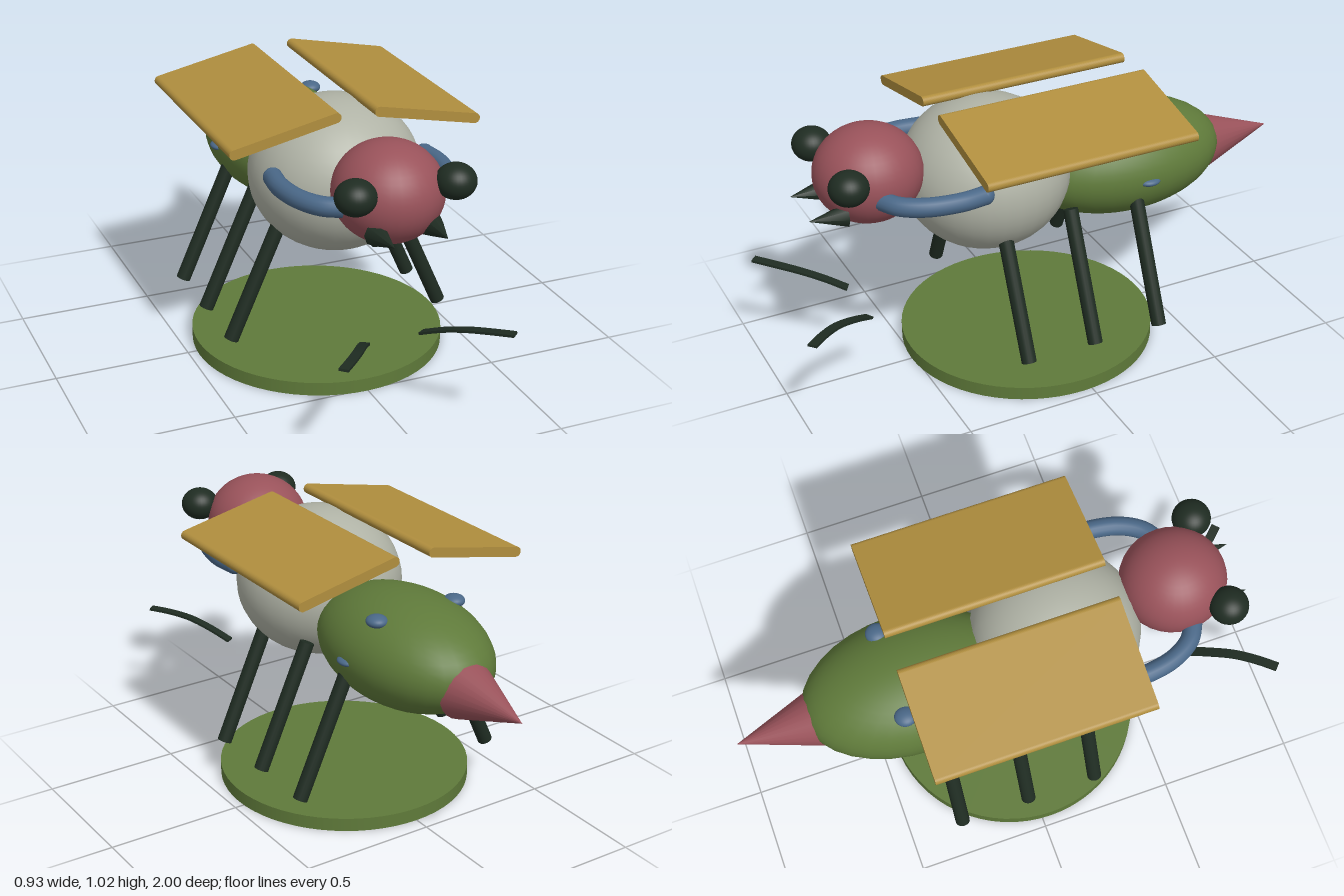
import * as THREE from 'three';

const paint = (name, color) => {
  const m = new THREE.MeshStandardMaterial({ color });
  m.name = name;
  return m;
};

export function createModel() {
  const grey = paint('shell grey', 0xb0b3a6);
  const red = paint('dusty red', 0x99525a);
  const green = paint('moss green', 0x5f7a3a);
  const blue = paint('slate blue', 0x4a6888);
  const gold = paint('wing gold', 0xb08e3e);
  const dark = paint('dark green black', 0x1f2c22);

  const model = new THREE.Group();
  model.name = 'insect';
  const add = (name, geometry, material, x = 0, y = 0, z = 0) => {
    const mesh = new THREE.Mesh(geometry, material);
    mesh.name = name;
    mesh.position.set(x, y, z);
    model.add(mesh);
    return mesh;
  };
  const ellipsoid = (rx, ry, rz) => new THREE.SphereGeometry(1, 32, 24).scale(rx, ry, rz);
  const v = (x, y, z) => new THREE.Vector3(x, y, z);

  // Cylinder or cone running from one point to another
  const rod = (name, a, b, r0, r1, sides, material) => {
    const dir = b.clone().sub(a);
    const mesh = add(name, new THREE.CylinderGeometry(r1, r0, dir.length(), sides), material);
    mesh.position.copy(a).lerp(b, 0.5);
    mesh.quaternion.setFromUnitVectors(v(0, 1, 0), dir.normalize());
    return mesh;
  };

  // Flat strip swept along a curve, its width kept horizontal
  const ribbon = (points, width, thickness) => {
    const curve = new THREE.CatmullRomCurve3(points);
    const geometry = new THREE.BoxGeometry(width, thickness, 1, 1, 1, 16);
    const pos = geometry.attributes.position;
    for (let i = 0; i < pos.count; i++) {
      const t = THREE.MathUtils.clamp(pos.getZ(i) + 0.5, 0, 1);
      const p = curve.getPoint(t);
      const tangent = curve.getTangent(t);
      const side = v(0, 1, 0).cross(tangent).normalize();
      const up = tangent.clone().cross(side);
      p.addScaledVector(side, pos.getX(i)).addScaledVector(up, pos.getY(i));
      pos.setXYZ(i, p.x, p.y, p.z);
    }
    geometry.computeVertexNormals();
    return geometry;
  };

  // Base disc and body
  add('base', new THREE.CylinderGeometry(1, 1, 0.05, 64).scale(0.466, 1, 0.476), green, 0, 0.025, 0.035);
  add('thorax', ellipsoid(0.308, 0.277, 0.308), grey, 0, 0.728, 0.2);
  add('abdomen', ellipsoid(0.257, 0.2, 0.4), green, 0, 0.66, -0.35);
  add('head', ellipsoid(0.19, 0.174, 0.194), red, 0, 0.826, 0.642);
  rod('stinger', v(0, 0.63, -0.7), v(0, 0.63, -1), 0.107, 0, 24, red);

  // Wing cross-section: a bar with round ends
  const wingLength = 0.374, wingRadius = 0.018;
  const bar = new THREE.Shape();
  bar.absarc(wingLength / 2, 0, wingRadius, -Math.PI / 2, Math.PI / 2, false);
  bar.absarc(-wingLength / 2, 0, wingRadius, Math.PI / 2, Math.PI * 1.5, false);
  const wingGeometry = new THREE.ExtrudeGeometry(bar, { depth: 0.8, bevelEnabled: false, curveSegments: 12 });
  wingGeometry.translate(0, 0, -0.4);

  for (const s of [1, -1]) {
    const label = s > 0 ? 'left' : 'right';

    add(label + 'Wing', wingGeometry, gold, s * 0.263, 0.967, 0).rotation.z = -s * 0.207;
    add(label + 'Eye', ellipsoid(0.07, 0.061, 0.07), dark, s * 0.178, 0.884, 0.778);
    rod(label + 'Mandible', v(s * 0.1, 0.737, 0.765), v(s * 0.094, 0.743, 0.898), 0.042, 0, 8, dark);

    // Legs
    [0.227, -0.04, -0.305].forEach((z, i) =>
      rod(label + 'Leg' + (i + 1), v(s * 0.41, 0.152, z), v(s * 0.207, 0.607, z), 0.027, 0.027, 16, dark));

    // Curved arm with rounded ends
    const path = [[0.285, 0.332], [0.293, 0.42], [0.272, 0.54], [0.225, 0.62], [0.16, 0.66]]
      .map(([x, z]) => v(s * x, 0.798, z));
    add(label + 'Arm', new THREE.TubeGeometry(new THREE.CatmullRomCurve3(path), 32, 0.034, 16), blue);
    for (const end of [path[0], path[4]]) {
      add(label + 'ArmEnd', ellipsoid(0.034, 0.034, 0.034), blue, end.x, end.y, end.z);
    }

    // Spots on the abdomen
    add(label + 'UpperSpot', ellipsoid(0.038, 0.022, 0.04), blue, s * 0.163, 0.815, -0.413);
    add(label + 'LowerSpot', ellipsoid(0.035, 0.016, 0.043), blue, s * 0.236, 0.66, -0.345);

    // Feeler strip
    const feeler = [[0.105, 0.309, 0.706], [0.15, 0.345, 0.78], [0.2, 0.374, 0.86], [0.255, 0.389, 0.93], [0.308, 0.397, 0.988]]
      .map(([x, y, z]) => v(s * x, y, z));
    add(label + 'Feeler', ribbon(feeler, 0.034, 0.009), dark);
  }
  return model;
}
